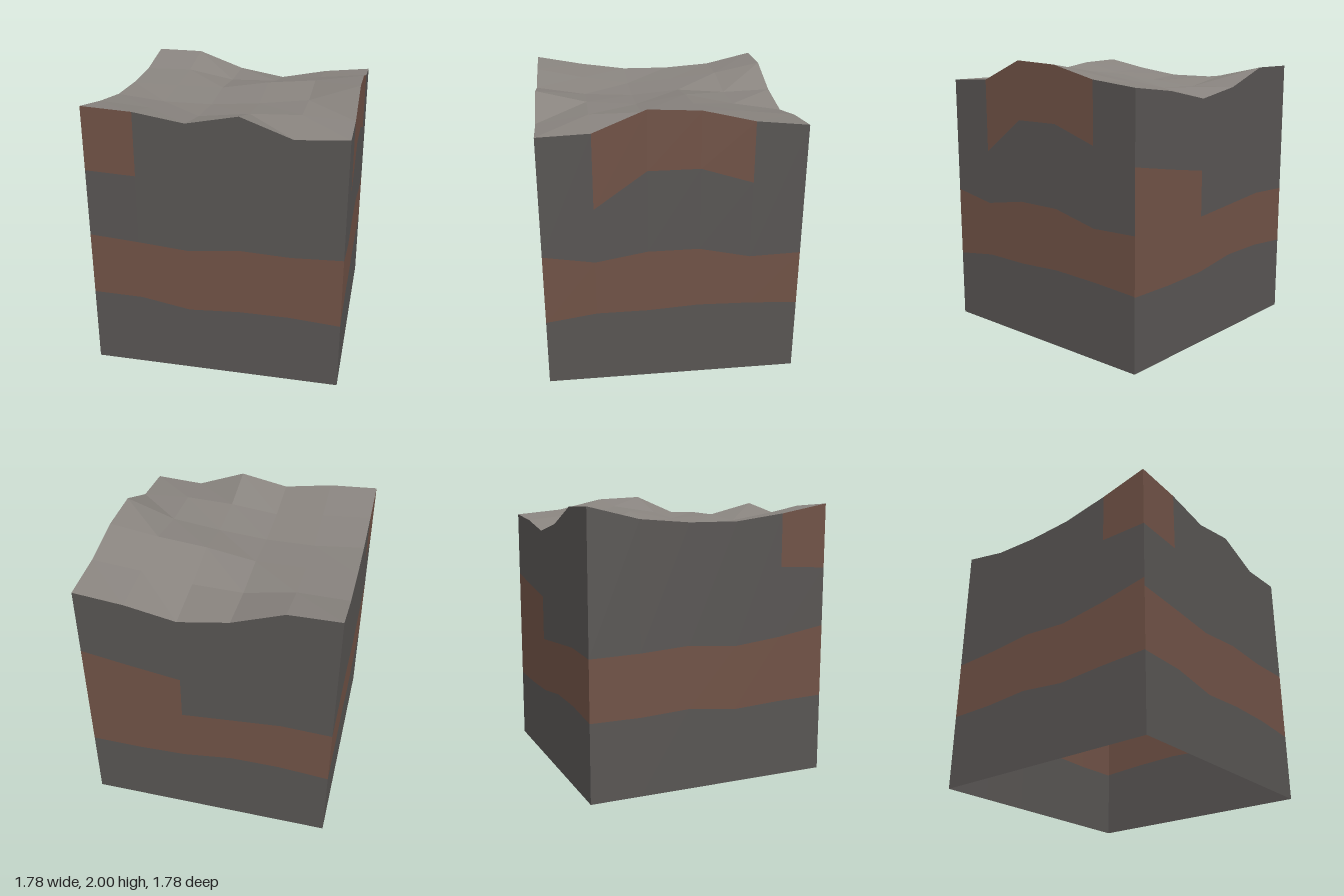
import * as THREE from 'three';

const grid = [-0.89, -0.534, -0.178, 0.178, 0.534, 0.89];

// Ground heights: one row per z from back to front, one column per x
const heights = [
  [1.94, 1.937, 1.81, 1.75, 1.82, 1.858],
  [1.858, 1.865, 1.80, 1.81, 1.86, 1.895],
  [1.833, 1.83, 1.83, 1.89, 1.925, 1.98],
  [1.836, 1.80, 1.80, 1.83, 1.875, 2.0],
  [1.886, 1.86, 1.82, 1.86, 1.874, 1.855],
  [1.953, 1.935, 1.88, 1.95, 1.82, 1.842],
];

const material = (name, color) => {
  const m = new THREE.MeshStandardMaterial({ color, side: THREE.DoubleSide });
  m.name = name;
  return m;
};

// Flat-faced mesh from a list of quads, corners counter-clockwise
function quadMesh(name, quads, mat) {
  const pos = [];
  for (const [a, b, c, d] of quads) pos.push(...a, ...b, ...c, ...a, ...c, ...d);
  const g = new THREE.BufferGeometry();
  g.setAttribute('position', new THREE.Float32BufferAttribute(pos, 3));
  g.computeVertexNormals();
  const mesh = new THREE.Mesh(g, mat);
  mesh.name = name;
  return mesh;
}

// Walls run left to right as seen from outside; point(i) gives x, z and ground row/column.
// The band is a clay layer; the patch is a second clay area over some of the cells.
const walls = [
  {
    name: 'front', point: (i) => [i, 5],
    lo: [0.555, 0.55, 0.49, 0.515, 0.515, 0.49],
    hi: [1.015, 0.99, 0.96, 1.0, 0.985, 1.0],
    patch: { from: 0, lo: [1.5, 1.485] },
  },
  {
    name: 'right', point: (i) => [5, 5 - i],
    lo: [0.49, 0.54, 0.54, 0.56, 0.55, 0.53],
    hi: [1.0, 0.94, 1.0, 1.0, 0.92, 0.93],
    patch: { from: 1, lo: [1.33, 1.585, 1.585, 1.47] },
  },
  {
    name: 'back', point: (i) => [5 - i, 0],
    lo: [0.525, 0.52, 0.53, 0.58, 0.58, 0.55],
    hi: [0.93, 0.93, 0.93, 0.96, 0.99, 0.975],
    patch: { from: 0, lo: [0.93, 0.93, 0.93], hi: [1.37, 1.31, 1.255] },
  },
  {
    name: 'left', point: (i) => [0, i],
    lo: [0.55, 0.55, 0.57, 0.53, 0.55, 0.56],
    hi: [0.975, 0.985, 1.01, 0.98, 1.02, 1.08],
    patch: { from: 4, lo: [1.515, 1.5] },
  },
];

export function createModel() {
  const group = new THREE.Group();
  group.name = 'terrainBlock';
  const ground = material('ground grey', 0x89847f);
  const stone = material('dark stone', 0x585553);
  const clay = material('red clay', 0x705246);

  // Uneven ground on top
  const vertex = (c, r) => [grid[c], heights[r][c], grid[r]];
  const top = [];
  for (let r = 0; r < 5; r++)
    for (let c = 0; c < 5; c++)
      top.push([vertex(c, r), vertex(c, r + 1), vertex(c + 1, r + 1), vertex(c + 1, r)]);
  group.add(quadMesh('groundSurface', top, ground));

  // Layered walls, open underneath
  for (const { name, point, lo, hi, patch } of walls) {
    const stoneQuads = [], clayQuads = [];
    const at = (i, y) => {
      const [c, r] = point(i);
      return [grid[c], y, grid[r]];
    };
    const rim = (i) => {
      const [c, r] = point(i);
      return heights[r][c];
    };
    for (let i = 0; i < 5; i++) {
      const add = (list, low, high) => {
        if (low(i) === high(i) && low(i + 1) === high(i + 1)) return;
        list.push([at(i, low(i)), at(i + 1, low(i + 1)), at(i + 1, high(i + 1)), at(i, high(i))]);
      };
      const bandLow = (k) => lo[k], bandHigh = (k) => hi[k];
      add(stoneQuads, () => 0, bandLow);
      add(clayQuads, bandLow, bandHigh);
      const k = i - patch.from;
      if (k >= 0 && k < patch.lo.length - 1) {
        const patchLow = (j) => patch.lo[j - patch.from];
        const patchHigh = (j) => (patch.hi ? patch.hi[j - patch.from] : rim(j));
        add(stoneQuads, bandHigh, patchLow);
        add(clayQuads, patchLow, patchHigh);
        add(stoneQuads, patchHigh, rim);
      } else {
        add(stoneQuads, bandHigh, rim);
      }
    }
    group.add(quadMesh(name + 'WallStone', stoneQuads, stone));
    group.add(quadMesh(name + 'WallClay', clayQuads, clay));
  }
  return group;
}
